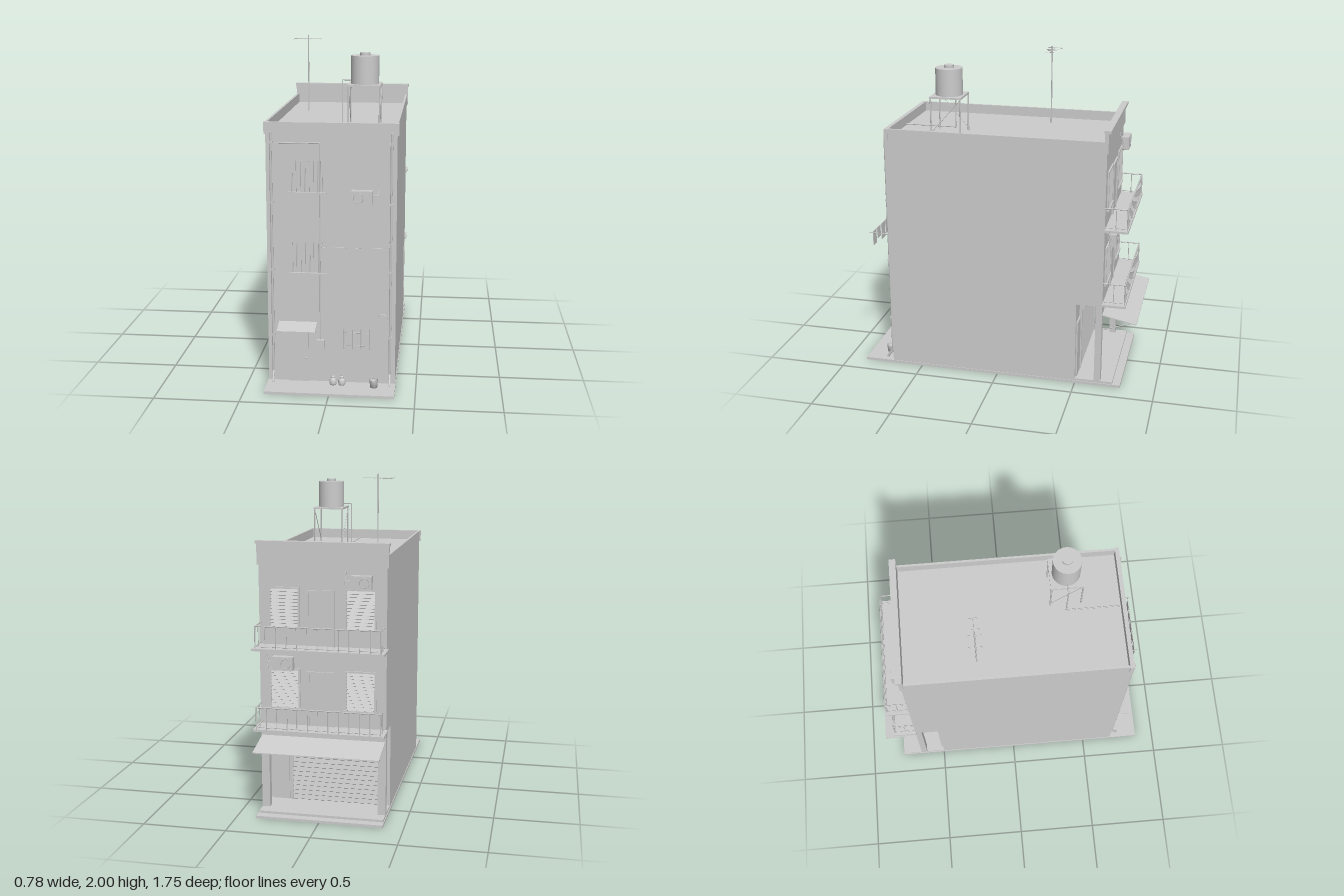
import * as THREE from 'three';

const plaster = new THREE.MeshStandardMaterial({ color: 0xcccccc, side: THREE.DoubleSide });
plaster.name = 'pale grey';

export function createModel() {
  const model = new THREE.Group();
  model.name = 'townhouse';

  const add = (name, geo, parent = model) => {
    const m = new THREE.Mesh(geo, plaster);
    m.name = name;
    parent.add(m);
    return m;
  };
  const group = (name) => {
    const g = new THREE.Group();
    g.name = name;
    model.add(g);
    return g;
  };
  // Box given by its extents on each axis
  const box = (name, x0, x1, y0, y1, z0, z1, parent) => {
    const m = add(name, new THREE.BoxGeometry(x1 - x0, y1 - y0, z1 - z0), parent);
    m.position.set((x0 + x1) / 2, (y0 + y1) / 2, (z0 + z1) / 2);
    return m;
  };
  // Straight round bar between two points
  const rod = (name, a, b, r, parent, sides = 6) => {
    const p = new THREE.Vector3(...a), q = new THREE.Vector3(...b);
    const d = q.clone().sub(p);
    const m = add(name, new THREE.CylinderGeometry(r, r, d.length(), sides), parent);
    m.position.copy(p).add(q).multiplyScalar(0.5);
    m.quaternion.setFromUnitVectors(new THREE.Vector3(0, 1, 0), d.normalize());
    return m;
  };
  const path = (name, pts, r, parent) => {
    for (let i = 1; i < pts.length; i++) rod(name, pts[i - 1], pts[i], r, parent);
  };
  // Solid with a side outline of [z, y] points, extruded across x
  const sideSolid = (name, pts, x0, x1, parent) => {
    const g = new THREE.ExtrudeGeometry(new THREE.Shape(pts.map(p => new THREE.Vector2(...p))),
      { depth: x1 - x0, bevelEnabled: false });
    g.rotateY(-Math.PI / 2).translate(x1, 0, 0);
    return add(name, g, parent);
  };

  // Ground slab, step and main block with the open porch cut out
  box('groundSlab', -0.38, 0.38, 0, 0.016, -0.785, 0.88);
  box('porchStep', -0.375, 0.375, 0.016, 0.03, -0.735, -0.5);
  sideSolid('mainBlock', [[0.695, 0.016], [0.695, 1.51], [-0.66, 1.51], [-0.66, 0.47],
    [-0.62, 0.47], [-0.62, 0.535], [-0.5, 0.535], [-0.5, 0.016]], -0.376, 0.376);
  for (const s of [-1, 1]) {
    box('porchPillar', s * 0.352 - 0.024, s * 0.352 + 0.024, 0.03, 0.47, -0.66, -0.62);
    box('sideParapet', s * 0.374 - 0.007, s * 0.374 + 0.007, 1.5, 1.57, -0.65, 0.69);
  }
  box('frontParapet', -0.386, 0.386, 1.5, 1.57, 0.672, 0.697);
  box('backParapet', -0.385, 0.385, 1.5, 1.625, -0.668, -0.645);
  box('backCornice', -0.39, 0.39, 1.622, 1.64, -0.683, -0.643);

  // Porch: rolling shutter, its housing, and a plain door beside it
  box('shutterHousing', -0.345, 0.235, 0.445, 0.49, -0.535, -0.5);
  for (let i = 0; i < 14; i++) {
    const y = 0.032 + i * 0.0295;
    sideSolid('shutterSlat', [[-0.5, y], [-0.5, y + 0.0295], [-0.506, y + 0.0295], [-0.512, y + 0.004], [-0.506, y]], -0.33, 0.22);
  }
  for (const x of [-0.338, 0.228]) box('shutterRail', x - 0.008, x + 0.008, 0.03, 0.45, -0.516, -0.5);
  box('porchDoor', 0.245, 0.35, 0.03, 0.4, -0.509, -0.5);

  // Sloping awning with struts
  sideSolid('awning', [[-0.66, 0.474], [-0.66, 0.48], [-0.87, 0.437], [-0.87, 0.431]], -0.37, 0.37);
  for (const x of [-0.34, 0, 0.34]) rod('awningStrut', [x, 0.365, -0.66], [x, 0.432, -0.845], 0.003);

  // Two upper floors of windows, doors, balconies and cooling units on the back
  const coolingUnit = (x, y, z, dir, w = 0.12) => {
    const g = group('coolingUnit');
    const h = 0.08, za = z + dir * 0.012, zb = z + dir * 0.056;
    box('unitCase', x - w / 2, x + w / 2, y, y + h, Math.min(za, zb), Math.max(za, zb), g);
    const fan = add('fanRing', new THREE.TorusGeometry(0.028, 0.002, 6, 20), g);
    fan.position.set(x - 0.02, y + h / 2, zb);
    for (const s of [-1, 1]) path('unitBracket', [[x + s * 0.045, y - 0.003, z], [x + s * 0.045, y - 0.003, zb]], 0.003, g);
    path('unitPipe', [[x + w / 2, y + 0.05, z + dir * 0.03], [x + w / 2 + 0.034, y + 0.05, z + dir * 0.03],
      [x + w / 2 + 0.034, y + 0.1, z + dir * 0.012], [x + w / 2 + 0.034, y + 0.1, z]], 0.003, g);
  };
  for (const f of [0.54, 1.02]) {
    const g = group('balcony');
    box('balconySlab', -0.386, 0.386, f, f + 0.014, -0.8, -0.655, g);
    const top = f + 0.145, z = -0.793, hx = 0.365;
    path('handRail', [[-hx, top, -0.66], [-hx, top, z], [hx, top, z], [hx, top, -0.66]], 0.004, g);
    path('lowerRail', [[-hx, f + 0.026, -0.66], [-hx, f + 0.026, z], [hx, f + 0.026, z], [hx, f + 0.026, -0.66]], 0.0025, g);
    for (let i = 0; i <= 12; i++) {
      const x = -hx + i * hx / 6;
      rod('baluster', [x, f + 0.01, z], [x, top, z], i % 12 ? 0.0025 : 0.004, g);
    }
    for (const x of [-hx, hx]) rod('sideBaluster', [x, f + 0.01, -0.725], [x, top, -0.725], 0.0025, g);

    box('balconyDoor', -0.058, 0.078, f + 0.014, f + 0.325, -0.664, -0.66);
    for (const x of [-0.066, 0.086]) box('doorJamb', x - 0.008, x + 0.008, f + 0.014, f + 0.325, -0.67, -0.66);
    box('doorLintel', -0.074, 0.094, f + 0.325, f + 0.341, -0.67, -0.66);
    for (const x of [-0.225, 0.225]) {
      const w = group('shutteredWindow');
      const y0 = f + 0.12, y1 = f + 0.355;
      for (const s of [-1, 1]) box('windowJamb', x + s * 0.087 - 0.006, x + s * 0.087 + 0.006, y0, y1, -0.67, -0.66, w);
      box('windowHead', x - 0.093, x + 0.093, y1 - 0.01, y1, -0.67, -0.66, w);
      box('windowSill', x - 0.1, x + 0.1, y0 - 0.01, y0, -0.676, -0.66, w);
      for (let i = 0; i < 11; i++) {
        const y = y0 + i * 0.0205;
        sideSolid('louvre', [[-0.66, y], [-0.66, y + 0.02], [-0.662, y + 0.02], [-0.669, y + 0.003]], x - 0.081, x + 0.081, w);
      }
    }
  }
  coolingUnit(-0.235, 1.378, -0.665, -1);
  coolingUnit(0.225, 0.893, -0.665, -1);
  for (const [x, y] of [[-0.14, 1.52], [0.32, 1.02]]) rod('unitHose', [x, y, -0.66], [x, y - 0.12, -0.695], 0.003);

  // Front wall: drain pipes with kicked-out feet
  for (const x of [-0.345, 0.345]) {
    path('drainPipe', [[x, 1.515, 0.707], [x, 0.08, 0.707], [x, 0.022, 0.745]], 0.008);
    for (const y of [0.3, 0.7, 1.1, 1.45]) box('pipeClip', x - 0.011, x + 0.011, y, y + 0.012, 0.695, 0.716);
  }
  // Door under a small sloping canopy
  box('frontDoor', -0.265, -0.135, 0.016, 0.32, 0.695, 0.703);
  add('doorKnob', new THREE.SphereGeometry(0.006, 10, 8)).position.set(-0.15, 0.165, 0.706);
  sideSolid('doorCanopy', [[0.695, 0.378], [0.695, 0.386], [0.8, 0.36], [0.8, 0.352]], -0.31, -0.085);
  // Cable run to the meter box
  path('cableRun', [[-0.345, 1.453, 0.7], [-0.065, 1.453, 0.7], [-0.065, 0.28, 0.7]], 0.004);
  box('meterBox', -0.087, -0.04, 0.225, 0.28, 0.695, 0.72);
  // Barred openings: two with sills upstairs, one at street level
  const bars = (x0, x1, y0, y1, n, z) => {
    for (let i = 0; i < n; i++) {
      const x = x0 + (x1 - x0) * i / (n - 1);
      rod('windowBar', [x, y0, z], [x, y1, z], 0.0025);
    }
  };
  for (const y of [0.685, 1.165]) {
    box('frontSill', -0.25, -0.025, y - 0.005, y + 0.004, 0.69, 0.711);
    bars(-0.225, -0.05, y, y + 0.185, 8, 0.698);
  }
  bars(0.075, 0.225, 0.228, 0.352, 7, 0.706);
  for (const y of [0.25, 0.33]) rod('barTie', [0.07, y, 0.705], [0.23, y, 0.705], 0.002);
  coolingUnit(0.18, 1.11, 0.695, 1);
  const vent = add('wallVent', new THREE.CylinderGeometry(0.028, 0.028, 0.015, 24));
  vent.rotation.x = Math.PI / 2;
  vent.position.set(0.3, 0.42, 0.702);

  // Washing line
  const line = group('washingLine');
  for (const x of [-0.035, 0.34]) {
    rod('lineArm', [x, 0.877, 0.695], [x, 0.877, 0.835], 0.003, line);
  }
  rod('line', [-0.045, 0.877, 0.82], [0.345, 0.877, 0.82], 0.002, line);
  for (const [x0, x1, y] of [[-0.04, 0.015, 0.805], [0.035, 0.095, 0.785], [0.11, 0.17, 0.77], [0.19, 0.245, 0.805], [0.265, 0.32, 0.785]])
    box('laundry', x0, x1, y, 0.878, 0.818, 0.822, line);

  // Gas bottles and bucket on the pavement
  const V = (x, y) => new THREE.Vector2(x, y);
  for (const x of [0.013, 0.065]) {
    add('gasBottle', new THREE.LatheGeometry([V(0, 0), V(0.018, 0.002), V(0.021, 0.01), V(0.021, 0.03), V(0.014, 0.041),
      V(0.008, 0.043), V(0.012, 0.045), V(0.012, 0.056), V(0, 0.056)], 16)).position.set(x, 0.016, 0.74);
  }
  add('bucket', new THREE.LatheGeometry([V(0, 0), V(0.021, 0), V(0.026, 0.045), V(0.023, 0.045), V(0.019, 0.005), V(0, 0.005)], 18))
    .position.set(0.255, 0.016, 0.755);

  // Water tank on a braced stand, with its pipe
  const tank = group('waterTank');
  box('tankPlatform', 0.067, 0.263, 1.743, 1.754, 0.247, 0.443, tank);
  const tx = 0.165, tz = 0.345, r = 0.092;
  const corners = [[-r, -r], [r, -r], [r, r], [-r, r]].map(([x, z]) => [tx + x, tz + z]);
  corners.forEach(([x, z], i) => {
    const [nx, nz] = corners[(i + 1) % 4];
    rod('standLeg', [x, 1.51, z], [x, 1.745, z], 0.005, tank);
    if (i % 2) rod('standBrace', [x, 1.74, z], [nx, 1.53, nz], 0.002, tank);
  });
  const body = add('tankBody', new THREE.CylinderGeometry(0.083, 0.083, 0.165, 32), tank);
  body.position.set(tx, 1.837, tz);
  const cap = add('tankCap', new THREE.CylinderGeometry(0.03, 0.03, 0.018, 24), tank);
  cap.position.set(tx, 1.927, tz);
  path('tankPipe', [[0.09, 1.775, tz], [0.03, 1.775, tz], [0.03, 1.516, tz], [0.03, 1.516, 0.672]], 0.004, tank);

  // Aerial
  const aerial = group('aerial');
  rod('mast', [-0.243, 1.51, -0.21], [-0.243, 2, -0.21], 0.004, aerial);
  rod('boom', [-0.335, 1.975, -0.21], [-0.155, 1.975, -0.21], 0.002, aerial);
  for (const [x, h] of [[-0.33, 0.048], [-0.258, 0.038], [-0.225, 0.034], [-0.16, 0.026]])
    rod('aerialElement', [x, 1.975, -0.21 - h], [x, 1.975, -0.21 + h], 0.002, aerial);

  return model;
}
